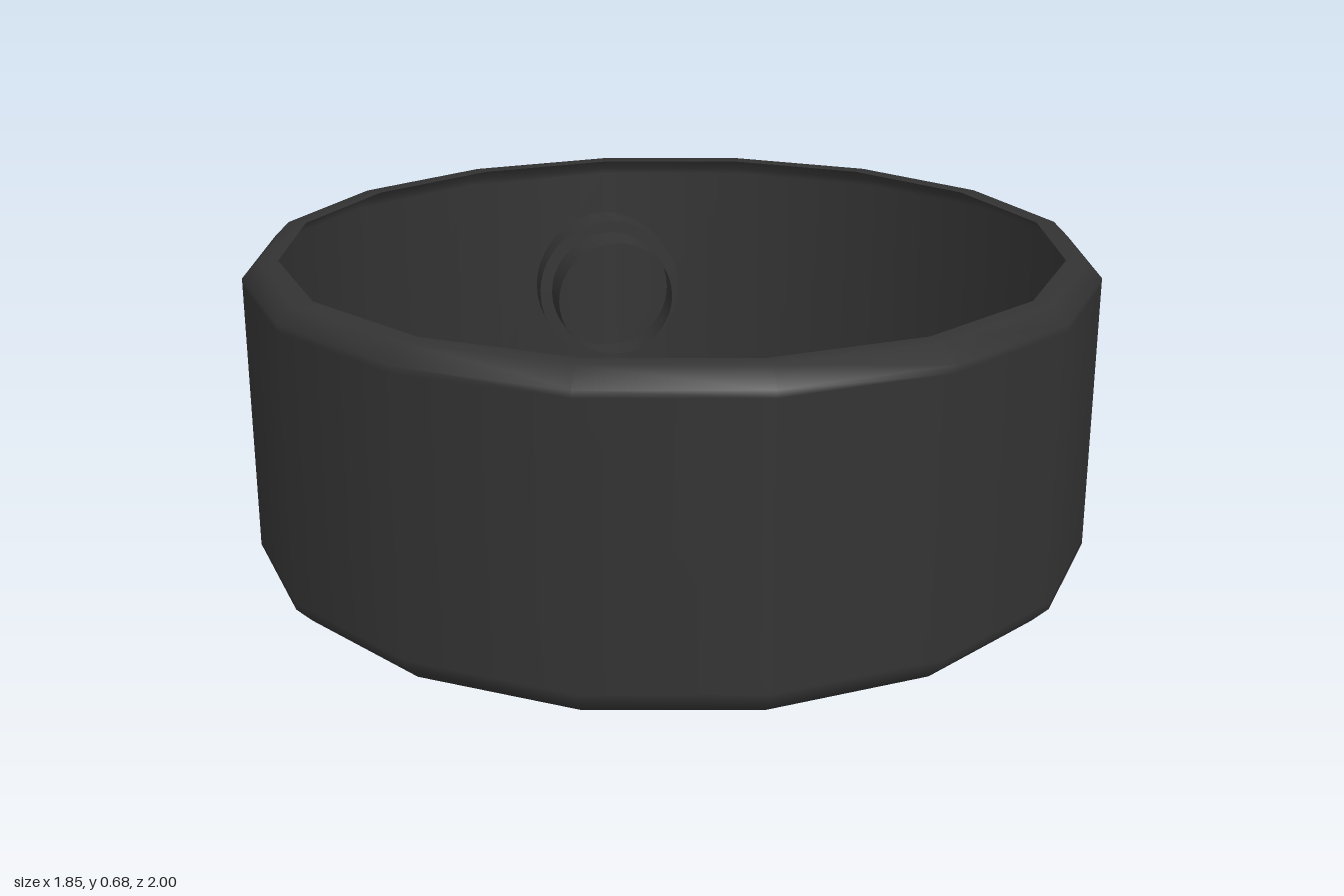
import * as THREE from 'three';
import { toCreasedNormals } from 'three/addons/utils/BufferGeometryUtils.js';

const material = new THREE.MeshStandardMaterial({ color: 0x333333, side: THREE.DoubleSide });

// Revolve an open [radius, height] profile; corners beyond the crease angle stay sharp
function lathe(name, profile, sides) {
  const points = profile.map(([r, y]) => new THREE.Vector2(r, y));
  const geometry = toCreasedNormals(new THREE.LatheGeometry(points, sides), 0.9);
  const mesh = new THREE.Mesh(geometry, material);
  mesh.name = name;
  return mesh;
}

export function createModel() {
  const group = new THREE.Group();
  group.name = 'collar';

  // Sixteen-sided thin shell whose rims turn inward through a chamfer;
  // the extra loops beside the chamfers keep the wall evenly shaded
  const height = 0.68, outer = 0.927, inner = 0.85, chamfer = 0.035, loop = 0.05;
  const band = lathe('band', [
    [inner, 0], [outer - chamfer, 0], [outer, chamfer], [outer, loop],
    [outer, height - loop], [outer, height - chamfer], [outer - chamfer, height],
    [inner, height],
  ], 16);
  band.position.z = 0.073;
  group.add(band);

  // Open stepped tube passing through the back wall, which closes it inside
  const socket = lathe('socket', [
    [0.15, 0.655], [0.155, 0.75], [0.186, 0.75], [0.188, 1],
  ], 40);
  socket.rotation.x = -Math.PI / 2;
  socket.position.y = height / 2;
  group.add(socket);

  return group;
}
